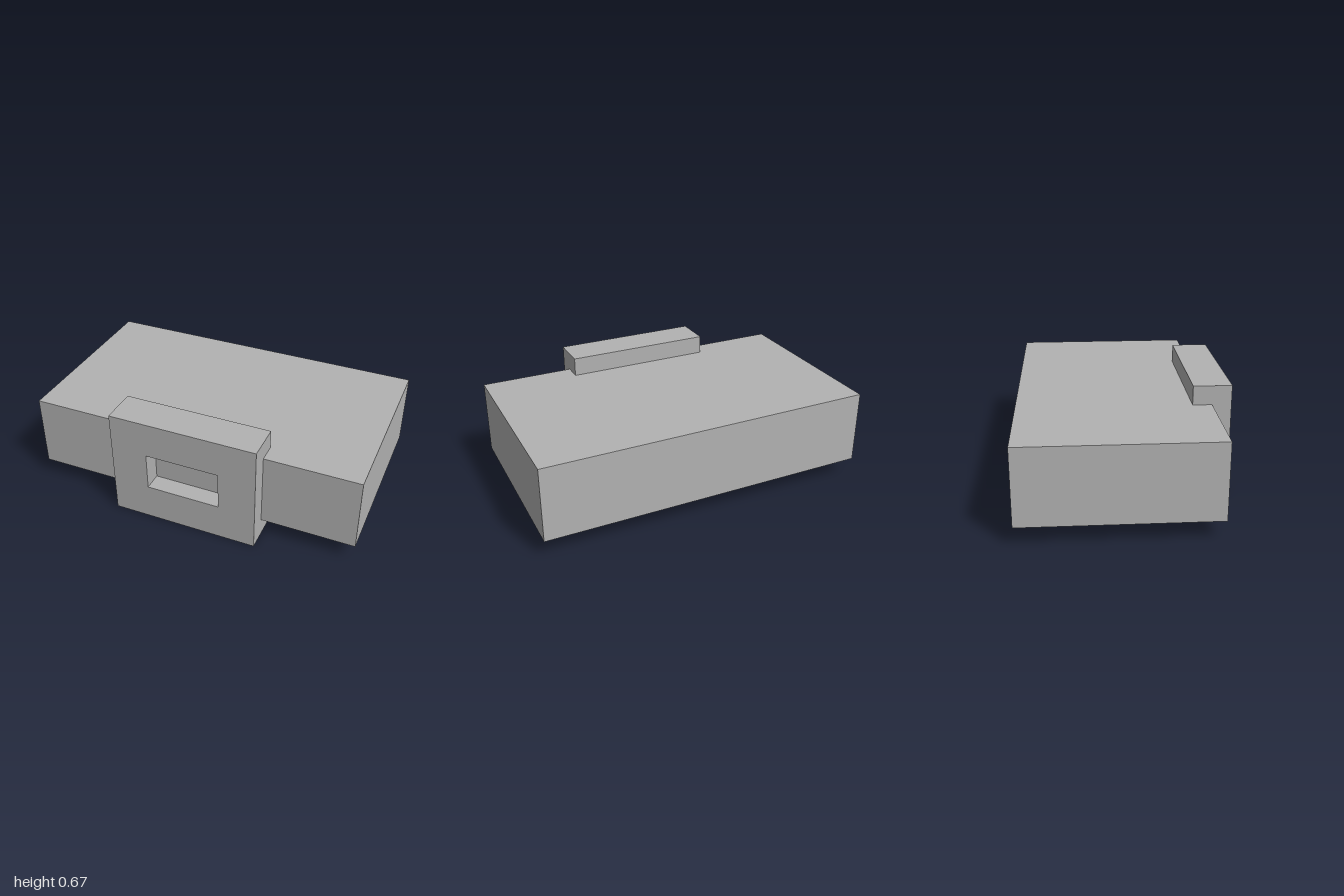
import * as THREE from 'three';

const rect = (PathType, x0, y0, x1, y1) => new PathType([
  new THREE.Vector2(x0, y0), new THREE.Vector2(x1, y0),
  new THREE.Vector2(x1, y1), new THREE.Vector2(x0, y1), new THREE.Vector2(x0, y0),
]);

export function createModel() {
  const group = new THREE.Group();
  const grey = new THREE.MeshStandardMaterial({ color: 0xb2b2b2 });
  grey.name = 'grey';

  // Wide main block
  const body = new THREE.Mesh(new THREE.BoxGeometry(2, 0.444, 1.111), grey);
  body.name = 'body';
  body.position.set(0, 0.333, -0.0555);
  group.add(body);

  // Front plate with a rectangular window, overlapping the block's front
  const outline = rect(THREE.Shape, -0.444, 0, 0.444, 0.667);
  outline.holes.push(rect(THREE.Path, -0.222, 0.222, 0.222, 0.45));
  const plate = new THREE.Mesh(
    new THREE.ExtrudeGeometry(outline, { depth: 0.222, bevelEnabled: false }), grey);
  plate.name = 'frontPlate';
  plate.position.z = 0.389;
  group.add(plate);

  return group;
}
